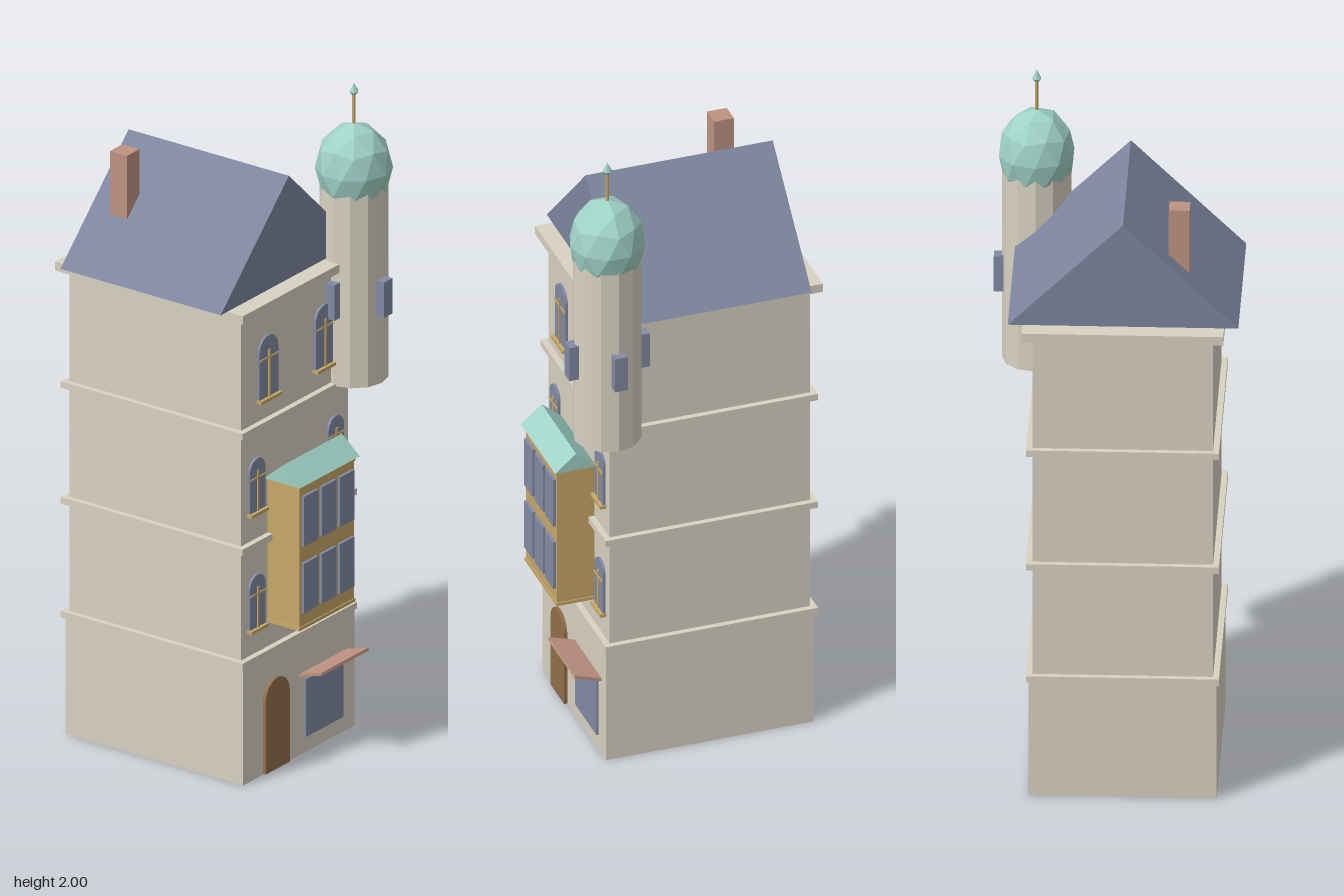
import * as THREE from 'three';

const mat = (name, color) => {
  const m = new THREE.MeshStandardMaterial({ color });
  m.name = name;
  return m;
};

export function createModel() {
  const model = new THREE.Group();
  model.name = 'townHouse';

  const stone = mat('stone', 0xd9d2c2);
  const slate = mat('slate', 0x7d869f);
  const glass = mat('glass', 0x838ba4);
  const gold = mat('goldenTimber', 0xc8a868);
  const copper = mat('copperGreen', 0xa0d2c6);
  const brick = mat('brick', 0xbf9382);
  const wood = mat('doorWood', 0x92704c);

  const CX = -0.033, CZ = -0.053; // centre of the main block
  const FRONT = 0.252;            // front wall plane

  const add = (name, geo, material, x = 0, y = 0, z = 0, parent = model) => {
    const mesh = new THREE.Mesh(geo, material);
    mesh.name = name;
    mesh.position.set(x, y, z);
    parent.add(mesh);
    return mesh;
  };
  const box = (name, w, h, d, material, x, y, z, parent) =>
    add(name, new THREE.BoxGeometry(w, h, d), material, x, y, z, parent);
  const faceted = (geo) => {
    const g = geo.index ? geo.toNonIndexed() : geo;
    g.computeVertexNormals();
    return g;
  };
  // Gable prism standing on y = 0, centred, with its ridge along z
  const gable = (w, h, d) => {
    const s = new THREE.Shape([
      new THREE.Vector2(-w / 2, 0), new THREE.Vector2(w / 2, 0), new THREE.Vector2(0, h)]);
    return new THREE.ExtrudeGeometry(s, { depth: d, bevelEnabled: false }).translate(0, 0, -d / 2);
  };
  // Round-headed panel standing on y = 0
  const arch = (w, h, d) => {
    const r = w / 2, s = new THREE.Shape();
    s.moveTo(-r, 0);
    s.lineTo(r, 0);
    s.lineTo(r, h - r);
    s.absarc(0, h - r, r, 0, Math.PI, false);
    s.closePath();
    return new THREE.ExtrudeGeometry(s, { depth: d, bevelEnabled: false, curveSegments: 8 });
  };

  // Main walls, wider ground floor and string courses
  box('groundFloor', 0.538, 0.365, 0.63, stone, CX, 0.1825, CZ + 0.004);
  box('upperWalls', 0.517, 1.09, 0.609, stone, CX, 0.905, CZ);
  for (const y of [0.372, 0.727, 1.087])
    box('stringCourse', 0.552, 0.02, 0.645, stone, CX, y, CZ);
  box('cornice', 0.578, 0.027, 0.667, stone, CX, 1.458, CZ);

  // Roof and chimney
  add('roof', gable(0.66, 0.32, 0.568), slate, CX, 1.476, CZ);
  box('chimney', 0.06, 0.26, 0.06, brick, -0.191, 1.682, -0.235);

  // Arched windows with sill and glazing bars
  const archWindow = (x, y, w, h) => {
    const g = new THREE.Group();
    g.name = 'archedWindow';
    g.position.set(x, y, FRONT);
    model.add(g);
    add('pane', arch(w, h, 0.008), glass, 0, 0, 0, g);
    box('uprightBar', 0.008, h * 0.78, 0.006, gold, 0, h * 0.39, 0.009, g);
    box('crossBar', w * 0.95, 0.006, 0.006, gold, 0, h * 0.65, 0.008, g);
    box('sill', w + 0.008, 0.01, 0.02, gold, 0, 0, 0.008, g);
  };
  for (const side of [-1, 1]) {
    archWindow(CX + side * 0.19, 0.46, 0.074, 0.168);
    archWindow(CX + side * 0.19, 0.822, 0.074, 0.168);
    archWindow(CX + side * 0.136, 1.16, 0.09, 0.195);
  }

  // Projecting timber bay with six panes and a little copper roof
  const bay = new THREE.Group();
  bay.name = 'bay';
  bay.position.x = CX;
  model.add(bay);
  box('bayBody', 0.264, 0.445, 0.125, gold, 0, 0.6825, 0.3025, bay);
  for (const y of [0.464, 0.902])
    box('bayTrim', 0.27, 0.01, 0.127, gold, 0, y, 0.3045, bay);
  for (const x of [-0.088, 0, 0.088])
    for (const y of [0.589, 0.797])
      box('bayPane', 0.07, 0.155, 0.009, glass, x, y, 0.3695, bay);
  add('bayRoof', gable(0.127, 0.055, 0.29), copper, 0, 0.909, 0.3125, bay).rotation.y = Math.PI / 2;

  // Door, shop window and tilted awning
  add('door', arch(0.116, 0.283, 0.012), wood, -0.148, 0.003, 0.264);
  box('shopWindow', 0.182, 0.18, 0.009, glass, 0.083, 0.14, 0.2685);
  box('awning', 0.226, 0.009, 0.088, brick, 0.084, 0.259, 0.304).rotation.x = -0.3;

  // Corner turret with four windows, faceted dome and finial
  const turret = new THREE.Group();
  turret.name = 'turret';
  turret.position.set(0.238, 0, 0.263);
  model.add(turret);
  add('turretWall', faceted(new THREE.CylinderGeometry(0.099, 0.099, 0.61, 12)), stone, 0, 1.395, 0, turret);
  for (let i = 0; i < 4; i++) {
    const a = i * Math.PI / 2;
    box('turretWindow', 0.04, 0.11, 0.034, glass,
      Math.sin(a) * 0.105, 1.36, Math.cos(a) * 0.105, turret).rotation.y = a;
  }
  const dome = new THREE.IcosahedronGeometry(1, 1);
  dome.rotateZ(-Math.atan(2 / (1 + Math.sqrt(5)))); // one corner straight up
  dome.scale(0.112, 0.138, 0.112);
  add('dome', faceted(dome), copper, 0, 1.738, 0, turret);
  add('finialRod', new THREE.CylinderGeometry(0.005, 0.005, 0.12, 8), gold, 0, 1.915, 0, turret);
  add('finialTip', faceted(new THREE.ConeGeometry(0.014, 0.028, 6)), copper, 0, 1.986, 0, turret);
  add('finialBase', faceted(new THREE.CylinderGeometry(0.014, 0.005, 0.01, 6)), copper, 0, 1.967, 0, turret);

  return model;
}
